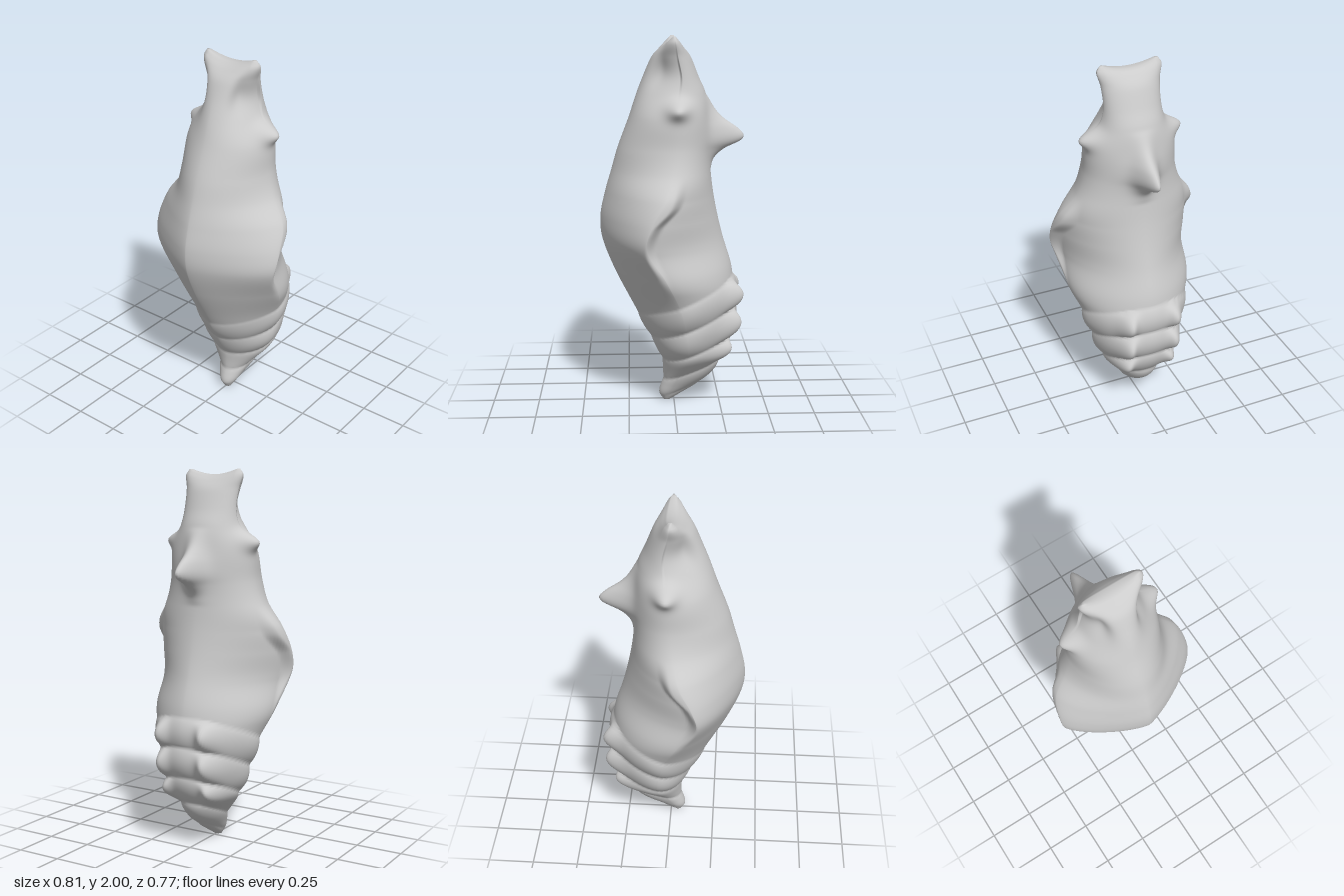
import * as THREE from 'three';

// Cross-sections: y, half width, front z, back z, z of widest point, front and back roundness
const SECTIONS = [
  [0.00, 0.022, 0.06, 0.02, 0.04, 2, 2],
  [0.03, 0.04, 0.075, -0.03, 0.03, 2, 2],
  [0.10, 0.065, 0.06, -0.14, 0.00, 1.8, 2],
  [0.20, 0.12, 0.05, -0.22, -0.04, 1.7, 2],
  [0.30, 0.19, 0.085, -0.27, -0.07, 1.7, 2.1],
  [0.43, 0.235, 0.155, -0.315, -0.06, 1.6, 2],
  [0.58, 0.283, 0.235, -0.328, -0.03, 1.5, 1.9],
  [0.76, 0.358, 0.325, -0.315, 0.05, 1.38, 1.75],
  [0.93, 0.395, 0.388, -0.265, 0.15, 1.3, 1.7],
  [1.05, 0.402, 0.396, -0.235, 0.13, 1.32, 1.75],
  [1.18, 0.375, 0.37, -0.21, 0.06, 1.45, 1.8],
  [1.30, 0.29, 0.335, -0.195, 0.02, 1.65, 1.9],
  [1.42, 0.25, 0.30, -0.185, 0.01, 1.8, 2],
  [1.58, 0.235, 0.24, -0.18, 0.00, 1.8, 2],
  [1.70, 0.175, 0.20, -0.168, -0.02, 1.8, 2],
  [1.79, 0.154, 0.165, -0.13, -0.03, 1.9, 2],
  [1.90, 0.158, 0.115, -0.085, -0.01, 2.1, 2],
  [1.97, 0.173, 0.065, -0.045, 0.00, 2.2, 2],
  [2.00, 0.155, 0.025, -0.015, 0.005, 2, 2],
];

// Height of the dorsal spike, and the rear edge of the wing cases, along y
const SPIKE = [[1.3, 0], [1.36, 0.025], [1.41, 0.085], [1.45, 0.17], [1.48, 0.189], [1.52, 0.155], [1.57, 0.085], [1.62, 0.04], [1.7, 0]];
const WING_EDGE = [[0.65, 0.03], [0.78, 0.1], [0.92, 0.165], [1.04, 0.13], [1.15, 0.03], [1.28, 0]];
// Borders of the abdomen rings, measured along their tilt
const RINGS = [0.05, 0.145, 0.27, 0.43, 0.59];
const TILT = 0.42;

const ROWS = 190, SIDES = 160;
const { smoothstep, clamp } = THREE.MathUtils;
const bell = (d, width) => Math.exp(-((d / width) ** 2));

// Smooth interpolation through rows of [key, ...values]
function sample(table, key) {
  const k = clamp(key, table[0][0], table[table.length - 1][0]);
  let i = 0;
  while (i < table.length - 2 && k > table[i + 1][0]) i++;
  const a = table[i], b = table[i + 1], h = b[0] - a[0], t = (k - a[0]) / h;
  const before = table[Math.max(i - 1, 0)], after = table[Math.min(i + 2, table.length - 1)];
  return a.slice(1).map((va, j) => {
    const vb = b[j + 1];
    const ma = (vb - before[j + 1]) / (b[0] - before[0]) * h;
    const mb = (after[j + 1] - va) / (after[0] - a[0]) * h;
    return va * (1 + 2 * t) * (1 - t) ** 2 + vb * t * t * (3 - 2 * t)
      + ma * t * (1 - t) ** 2 + mb * t * t * (t - 1);
  });
}

// Rounded swelling of each abdomen ring, zero at its borders
function ringSwell(s) {
  for (let i = 0; i < RINGS.length - 1; i++) {
    if (s > RINGS[i] && s < RINGS[i + 1]) {
      const t = (s - RINGS[i]) / (RINGS[i + 1] - RINGS[i]);
      return Math.pow(Math.sin(Math.PI * t), 0.7);
    }
  }
  return 0;
}

function surfacePoint(y, angle) {
  const [w, front, back, mid, pf, pb] = sample(SECTIONS, y);
  const c = Math.cos(angle), s = Math.sin(angle);
  const power = 2 / (s >= 0 ? pf : pb);
  let x = w * Math.sign(c) * Math.abs(c) ** power;
  let z = mid + ((s >= 0 ? front : back) - mid) * Math.abs(s) ** power;
  const side = Math.abs(c) < 1e-9 ? 0 : Math.sign(c);
  const rear = s < 0 ? 1 : 0;

  // Wing cases: the body steps inward behind their edge
  const [edge] = sample(WING_EDGE, y);
  const wing = smoothstep(y, 0.68, 0.9) * (1 - smoothstep(y, 1.16, 1.3));
  x *= 1 - 0.11 * wing * (1 - smoothstep(z, edge - 0.06, edge));

  // Abdomen rings with paired back tubercles and side knobs
  const swell = ringSwell(y + TILT * z);
  const size = smoothstep(y, 0.1, 0.35);
  const tubercle = rear * bell(Math.abs(x) - 0.13, 0.04) * smoothstep(-z, 0.1, 0.24);
  const knob = bell(z + 0.05, 0.09);
  const out = swell * (0.01 + 0.01 * Math.max(-s, 0) + size * 0.014 * knob);
  x += out * c;
  z += out * s - swell * size * 0.06 * tubercle;

  // Shoulder points
  x += side * 0.065 * bell(y - 1.63, 0.045) * bell(z + 0.015, 0.06);

  // Dorsal spike, flaring at its base
  const spike = Math.max(sample(SPIKE, y)[0], 0);
  z -= rear * spike * (0.85 * bell(x, 0.052) + 0.15 * bell(x, 0.12));

  // Cheek hollows under the horn tips, leaving a flat face between them
  const cheek = 0.032 * bell(y - 1.82, 0.09) * bell(angle > Math.PI ? 9 : Math.abs(c) - 0.78, 0.24);
  x -= cheek * c;
  z -= cheek * s;

  // Crown dips between the two horn tips
  const dip = 0.028 * smoothstep(y, 1.88, 2) * (1 - clamp((x / 0.14) ** 2, 0, 1));
  return [x, y - dip, z];
}

function buildBody() {
  const positions = [], index = [];
  for (let r = 0; r <= ROWS; r++) {
    for (let i = 0; i < SIDES; i++) {
      positions.push(...surfacePoint(2 * r / ROWS, i / SIDES * Math.PI * 2));
    }
  }
  for (let r = 0; r < ROWS; r++) {
    for (let i = 0; i < SIDES; i++) {
      const a = r * SIDES + i, b = r * SIDES + (i + 1) % SIDES;
      index.push(a, a + SIDES, b, b, a + SIDES, b + SIDES);
    }
  }
  // Close the tail tip, and join the front and back of the crown
  const tip = positions.length / 3, top = ROWS * SIDES;
  positions.push(0, 0, 0.04);
  for (let i = 0; i < SIDES; i++) index.push(tip, i, (i + 1) % SIDES);
  for (let i = 0; i < SIDES / 2; i++) {
    const f0 = top + i, f1 = top + i + 1;
    const b0 = top + (SIDES - i) % SIDES, b1 = top + SIDES - i - 1;
    index.push(f0, b0, f1, f1, b0, b1);
  }
  const geometry = new THREE.BufferGeometry();
  geometry.setAttribute('position', new THREE.Float32BufferAttribute(positions, 3));
  geometry.setIndex(index);
  geometry.computeVertexNormals();
  return geometry;
}

export function createModel() {
  const group = new THREE.Group();
  group.name = 'chrysalis';
  const material = new THREE.MeshStandardMaterial({ color: 0xcccccc, side: THREE.DoubleSide });
  const body = new THREE.Mesh(buildBody(), material);
  body.name = 'chrysalisBody';
  group.add(body);
  return group;
}
